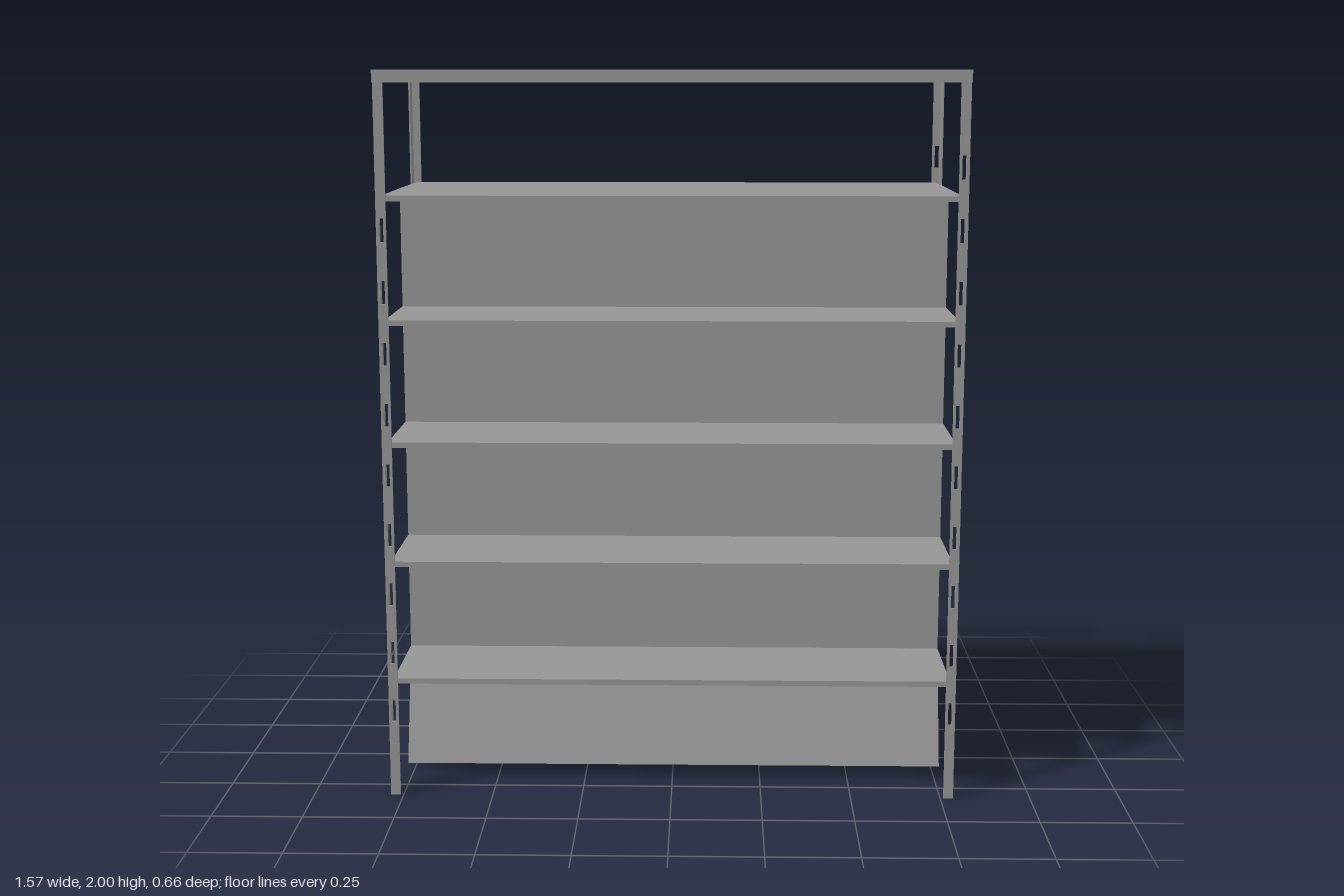
import * as THREE from 'three';

const material = new THREE.MeshStandardMaterial({ color: 0x969696, flatShading: true });

function add(parent, name, geometry, x = 0, y = 0, z = 0) {
  const mesh = new THREE.Mesh(geometry, material);
  mesh.name = name;
  mesh.position.set(x, y, z);
  parent.add(mesh);
  return mesh;
}

// Upright plate centred on its width, pierced by a column of slots
function slottedPlate(width, height, thickness, slotCount) {
  const w = width / 2, s = 0.006, h = 0.0315;
  const shape = new THREE.Shape([[-w, 0], [w, 0], [w, height], [-w, height]].map(p => new THREE.Vector2(...p)));
  for (let i = 0; i < slotCount; i++) {
    const y = 0.246 + i / 6;
    shape.holes.push(new THREE.Path([[-s, y - h], [-s, y + h], [s, y + h], [s, y - h]].map(p => new THREE.Vector2(...p))));
  }
  const geometry = new THREE.ExtrudeGeometry(shape, { depth: thickness, bevelEnabled: false });
  return geometry.translate(0, 0, -thickness / 2);
}

// Extrudes a [z, y] outline along x, centred
function profileAlongX(points, length) {
  const shape = new THREE.Shape(points.map(([z, y]) => new THREE.Vector2(-z, y)));
  const geometry = new THREE.ExtrudeGeometry(shape, { depth: length, bevelEnabled: false });
  return geometry.translate(0, 0, -length / 2).rotateY(Math.PI / 2);
}

// Slotted angle-iron post with its corner pointing outwards (signs sx, sz)
function makePost(sx, sz) {
  const post = new THREE.Group();
  post.name = 'post';
  const w = 0.027, d = 0.042, t = 0.005, h = 1.995;
  const slots = sx > 0 ? 10 : 9;
  add(post, 'postFace', slottedPlate(w, h, t, slots), sx * (0.7855 - w / 2), 0, sz * (0.329 - t / 2));
  const side = add(post, 'postSide', slottedPlate(d - t, h, t, slots), sx * (0.7855 - t / 2), 0, sz * (0.329 - (d + t) / 2));
  side.rotation.y = Math.PI / 2;
  return post;
}

export function createModel() {
  const model = new THREE.Group();
  model.name = 'shelvingUnit';
  const length = 1.54;

  // Front and back frames: two posts and an angle-iron top rail each
  for (const s of [1, -1]) {
    const frame = new THREE.Group();
    frame.name = s > 0 ? 'frontFrame' : 'backFrame';
    frame.add(makePost(1, s), makePost(-1, s));
    const rail = [[0.287, 2], [0.332, 2], [0.332, 1.966], [0.327, 1.966], [0.327, 1.995], [0.287, 1.995]];
    add(frame, 'topRail', profileAlongX(rail.map(([z, y]) => [s * z, y]), 1.574));
    model.add(frame);
  }

  // Shelves resting inside the posts, thickening towards their outer edges
  const shelf = profileAlongX([
    [0, 0.003], [0.324, 0.002], [0.324, -0.013], [0, -0.004],
    [-0.324, -0.013], [-0.324, 0.002],
  ], length);
  for (let i = 1; i <= 5; i++) add(model, 'shelf', shelf, 0, i / 3 + 0.002, 0);

  // Central upright panel
  add(model, 'centrePanel', new THREE.BoxGeometry(length, 1.332, 0.025), 0, 1.001, 0);

  // Splayed boards under the panel
  for (const s of [-1, 1]) {
    const points = [[0, 0.336], [s * 0.012, 0.34], [s * 0.116, 0.015], [s * 0.103, 0.011]];
    add(model, 'splayedFoot', profileAlongX(points, length));
  }
  return model;
}
